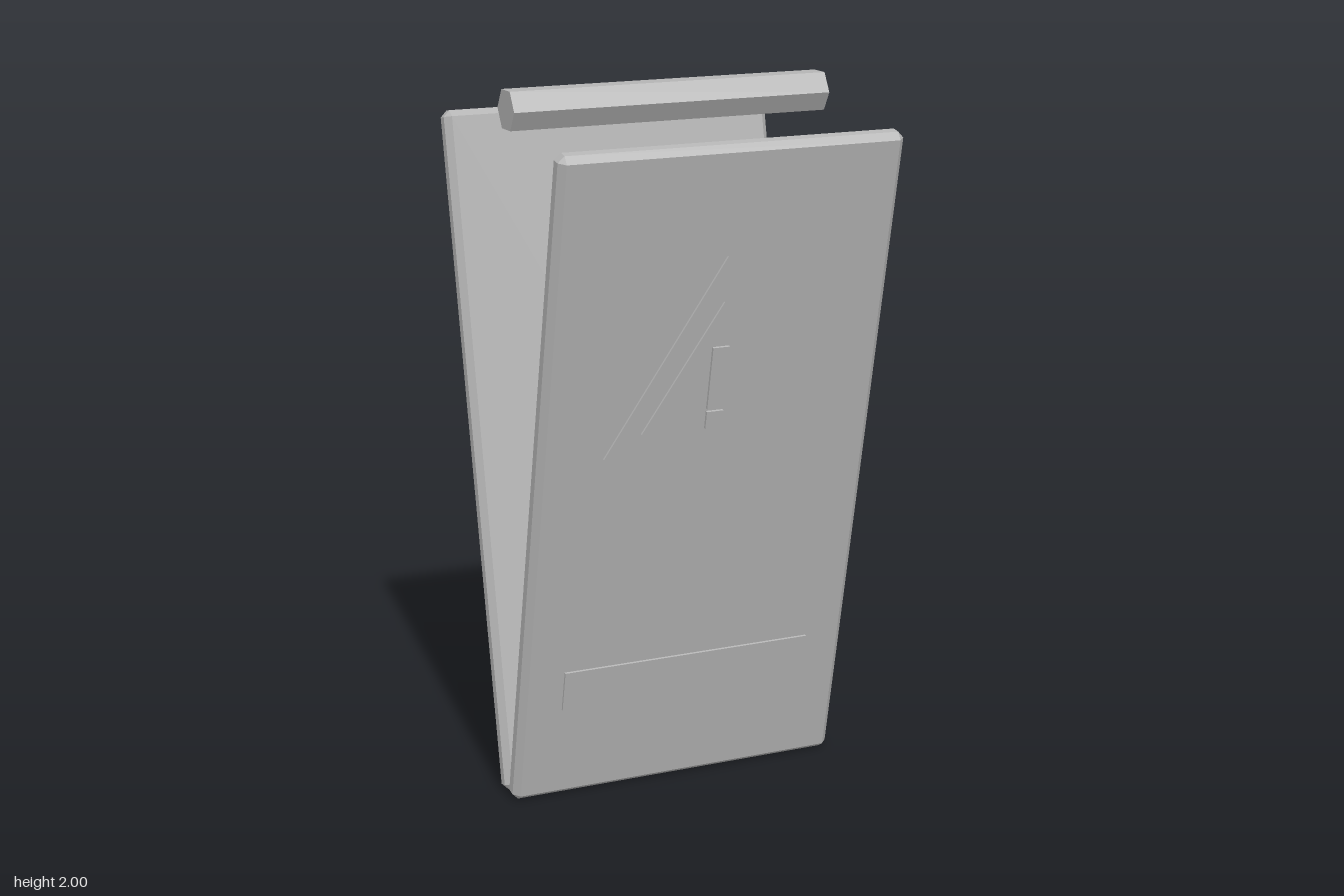
import * as THREE from 'three';
import { ConvexGeometry } from 'three/addons/geometries/ConvexGeometry.js';

const WIDTH = 0.996, LENGTH = 1.929, THICK = 0.061, CHAMFER = 0.018;
const TILT = THREE.MathUtils.degToRad(11.7);

// Box with every edge and corner cut at 45 degrees
function chamferedBox(w, h, d, c) {
  const points = [];
  for (const sx of [-1, 1]) for (const sy of [-1, 1]) for (const sz of [-1, 1]) {
    const half = [w / 2, h / 2, d / 2], sign = [sx, sy, sz];
    for (let full = 0; full < 3; full++) {
      points.push(new THREE.Vector3(...half.map((v, i) => sign[i] * (i === full ? v : v - c))));
    }
  }
  return new ConvexGeometry(points);
}

// Upright triangle plate, base at y0, apex at y1
function trianglePlate(halfWidth, y0, y1, depth) {
  const shape = new THREE.Shape([
    new THREE.Vector2(-halfWidth, y0),
    new THREE.Vector2(halfWidth, y0),
    new THREE.Vector2(0, y1),
  ]);
  return new THREE.ExtrudeGeometry(shape, { depth, bevelEnabled: false });
}

// Rectangular plate from y0 to y1, rising from z = 0
function rectPlate(width, y0, y1, depth) {
  return new THREE.BoxGeometry(width, y1 - y0, depth).translate(0, (y0 + y1) / 2, depth / 2);
}

export function createModel() {
  const model = new THREE.Group();
  model.name = 'foldingWarningSign';
  const grey = new THREE.MeshStandardMaterial({ color: 0xb4b4b4, flatShading: true });
  grey.name = 'plain grey';

  const add = (parent, name, geometry) => {
    const mesh = new THREE.Mesh(geometry, grey);
    mesh.name = name;
    parent.add(mesh);
    return mesh;
  };

  // One leaning board with its raised details on the outer (+z) face
  function makeBoard(name) {
    const board = new THREE.Group();
    board.name = name;
    add(board, 'panel', chamferedBox(WIDTH, LENGTH, THICK, CHAMFER)
      .translate(0, LENGTH / 2, THICK / 2));

    const details = new THREE.Group();
    details.name = 'raisedDetails';
    details.position.z = THICK;
    add(details, 'outerTriangle', trianglePlate(0.312, 1.063, 1.623, 0.006));
    add(details, 'innerTriangle', trianglePlate(0.21, 1.128, 1.495, 0.012));
    add(details, 'warningBar', rectPlate(0.05, 1.186, 1.367, 0.02));
    add(details, 'warningDot', rectPlate(0.05, 1.128, 1.178, 0.02));
    add(details, 'lowerPlate', rectPlate(0.75, 0.288, 0.408, 0.007));
    board.add(details);

    board.position.set(0, 0.009, -0.0037);
    board.rotation.x = TILT;
    const side = new THREE.Group();
    side.name = name + 'Side';
    side.add(board);
    model.add(side);
    return side;
  }

  // Two boards meeting at the floor, the rear one turned around
  makeBoard('frontBoard');
  makeBoard('backBoard').rotation.y = Math.PI;

  // Hexagonal bar with a flat top, running across above the boards
  const bar = add(model, 'handleBar', new THREE.CylinderGeometry(0.0605, 0.0605, 0.938, 6));
  bar.rotation.z = Math.PI / 2;
  bar.position.y = 2 - 0.0605 * Math.cos(Math.PI / 6);

  return model;
}
